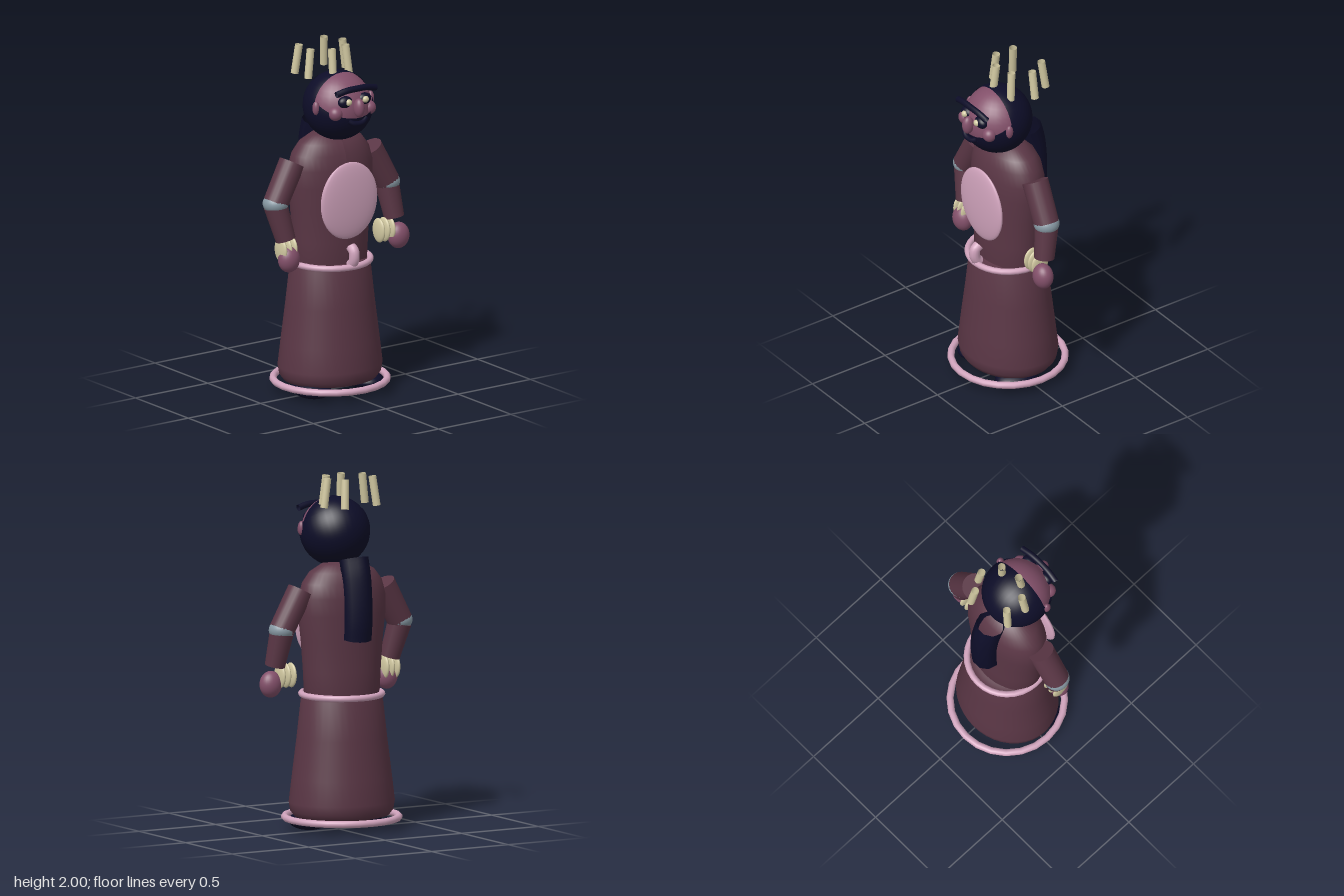
import * as THREE from 'three';

const mat = (name, color, side = THREE.FrontSide) => {
  const m = new THREE.MeshStandardMaterial({ color, side });
  m.name = name;
  return m;
};
const V = (x, y, z) => new THREE.Vector3(x, y, z);
const UP = V(0, 1, 0);

export function createModel() {
  const robe = mat('plum robe', 0x5a3645, THREE.DoubleSide);
  const skin = mat('rose skin', 0x83506a);
  const pink = mat('pale pink', 0xd0a3bc);
  const cream = mat('cream', 0xd0c7a0, THREE.DoubleSide);
  const dark = mat('midnight hair', 0x0d0d28, THREE.DoubleSide);
  const grey = mat('steel grey', 0x8798a3);

  const model = new THREE.Group();
  model.name = 'robedFigure';
  // The body axis sits slightly off the origin
  const body = new THREE.Group();
  body.name = 'figure';
  body.position.x = -0.02;
  model.add(body);

  const add = (name, geo, material, p = [0, 0, 0]) => {
    const m = new THREE.Mesh(geo, material);
    m.name = name;
    m.position.set(...p);
    body.add(m);
    return m;
  };
  const ball = (name, material, p, r) => {
    const m = add(name, new THREE.SphereGeometry(1, 28, 20), material, p);
    m.scale.set(...r);
    return m;
  };
  const rod = (name, material, a, b, ra, rb, open = false) => {
    const d = b.clone().sub(a);
    const m = add(name, new THREE.CylinderGeometry(rb, ra, d.length(), 20, 1, open), material);
    m.position.copy(a).addScaledVector(d, 0.5);
    m.quaternion.setFromUnitVectors(UP, d.normalize());
    return m;
  };
  const lathe = (pts) => new THREE.LatheGeometry(pts.map((p) => new THREE.Vector2(...p)), 40);
  const tube = (pts, r, radial = 12) =>
    new THREE.TubeGeometry(new THREE.CatmullRomCurve3(pts.map((p) => V(...p))), 16, r, radial);

  // Skirt, slightly flattened front to back
  const skirt = add('skirt', lathe([[0, 0.06], [0.2, 0.063], [0.275, 0.08], [0.298, 0.11],
    [0.307, 0.16], [0.29, 0.3], [0.262, 0.52], [0.237, 0.74], [0.2, 0.77], [0, 0.77]]), robe);
  skirt.scale.z = 0.87;

  // Torso, flatter at the chest than at the waist
  const torso = lathe([[0, 0.71], [0.2, 0.715], [0.226, 0.76], [0.235, 0.9], [0.25, 1.08],
    [0.268, 1.22], [0.268, 1.32], [0.245, 1.4], [0.2, 1.46], [0.12, 1.505], [0, 1.52]]);
  const pos = torso.attributes.position;
  for (let i = 0; i < pos.count; i++) {
    const t = THREE.MathUtils.clamp((pos.getY(i) - 0.72) / 0.55, 0, 1);
    pos.setZ(i, pos.getZ(i) * THREE.MathUtils.lerp(0.74, 0.61, t));
  }
  torso.computeVertexNormals();
  add('torso', torso, robe);

  // Rings and belly panel
  add('hemRing', new THREE.TorusGeometry(0.32, 0.02, 12, 24), pink, [0, 0.07, 0]).rotation.x = Math.PI / 2;
  add('belt', new THREE.TorusGeometry(0.226, 0.018, 12, 32), pink, [0, 0.765, 0]).rotation.x = Math.PI / 2;
  ball('bellyPanel', pink, [0, 1.14, 0.18], [0.195, 0.222, 0.03]);
  add('beltHook', tube([[0, 0.875, 0.2], [0, 0.855, 0.225], [0, 0.82, 0.23], [0, 0.79, 0.22], [0, 0.77, 0.2]], 0.03), pink);

  // Head with hair and beard shells
  const headAt = [0, 1.675, 0.075];
  ball('head', skin, headAt, [0.189, 0.195, 0.187]);
  const shell = (name, r, angle, axis) => {
    const geo = new THREE.SphereGeometry(r, 36, 24, 0, Math.PI * 2, 0, angle);
    add(name, geo, dark, headAt).quaternion.setFromUnitVectors(UP, axis.normalize());
  };
  shell('hair', 0.196, 1.74, V(0, 0, -1));
  shell('beard', 0.198, 1.92, V(0, -0.86, -0.5));

  // Face
  ball('nose', skin, [0, 1.7, 0.275], [0.03, 0.055, 0.035]);
  add('brow', tube([[-0.135, 1.79, 0.245], [-0.07, 1.805, 0.252], [0, 1.808, 0.255],
    [0.07, 1.805, 0.252], [0.135, 1.79, 0.245]], 0.018), dark);
  add('moustache', tube([[-0.06, 1.628, 0.255], [-0.03, 1.612, 0.268], [0, 1.608, 0.27],
    [0.03, 1.612, 0.268], [0.06, 1.628, 0.255]], 0.015), dark);
  for (const s of [-1, 1]) {
    ball('cheek', skin, [s * 0.115, 1.67, 0.21], [0.04, 0.04, 0.04]);
    ball('ear', skin, [s * 0.188, 1.695, 0.125], [0.02, 0.04, 0.022]);
    ball('eyeSocket', dark, [s * 0.065, 1.735, 0.232], [0.045, 0.034, 0.03]);
    ball('eye', cream, [s * 0.058, 1.737, 0.256], [0.02, 0.019, 0.018]);
    ball('foot', dark, [s * 0.18, 0.05, 0.07], [0.1, 0.05, 0.13]);
  }

  // Long hair falling down the back
  add('hairTail', tube([[0, 1.54, -0.13], [0, 1.44, -0.157], [0, 1.3, -0.172],
    [0, 1.18, -0.172], [0, 1.09, -0.162]], 0.082, 10), dark);

  // Arms: s is the side, the hands differ a little in place
  const arms = [
    { s: -1, wrist: V(-0.34, 0.94, 0.045), hand: [-0.335, 0.83, 0.07], bangles: -0.34 },
    { s: 1, wrist: V(0.41, 0.945, 0.045), hand: [0.425, 0.84, 0.065], bangles: 0.337 },
  ];
  for (const { s, wrist, hand, bangles } of arms) {
    const elbow = V(s * 0.385, 1.15, 0.012);
    rod('upperArm', robe, V(s * 0.266, 1.366, 0.005), elbow, 0.075, 0.072);
    ball('elbow', grey, elbow.toArray(), [0.073, 0.06, 0.073]);
    rod('forearm', robe, elbow.clone().add(V(0, -0.015, 0)), wrist, 0.068, 0.057);
    ball('hand', skin, hand, [0.065, 0.075, 0.056]);
    for (const dx of [-0.036, 0, 0.036]) {
      ball('bangle', cream, [bangles + dx, 0.885, 0.05], [0.018, 0.07, 0.055]);
    }
  }

  // Crown of floating open tubes, leaning inwards
  const spikes = [[-0.135, -0.13], [0.088, -0.18], [0.147, -0.07], [0.088, 0.042], [-0.033, 0.068], [-0.138, -0.007]];
  for (const [x, z] of spikes) {
    const dx = x * 0.08, dz = (z + 0.055) * 0.08;
    rod('crownSpike', cream, V(x + dx, 1.832, z + dz), V(x - dx, 1.998, z - dz), 0.022, 0.022, true);
  }
  return model;
}
